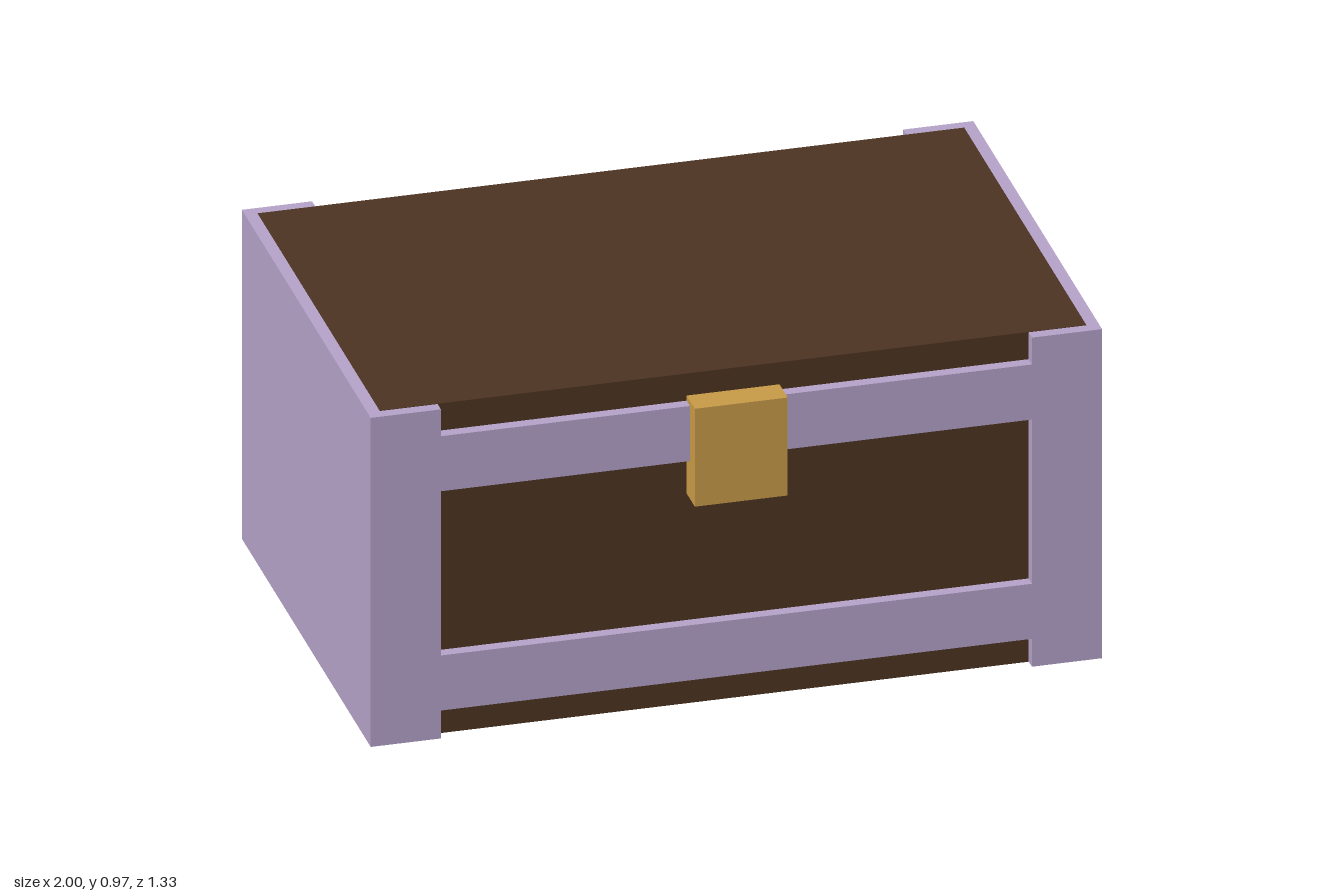
import * as THREE from 'three';

export function createModel() {
  const group = new THREE.Group();
  const wood = new THREE.MeshStandardMaterial({ name: 'dark wood', color: 0x4d3322 });
  const trim = new THREE.MeshStandardMaterial({ name: 'lilac trim', color: 0xb5a3ca });
  const brass = new THREE.MeshStandardMaterial({ name: 'brass', color: 0xc89b48 });

  // Box given by its lower and upper limits on each axis
  function box(name, material, [x0, x1], [y0, y1], [z0, z1]) {
    const mesh = new THREE.Mesh(new THREE.BoxGeometry(x1 - x0, y1 - y0, z1 - z0), material);
    mesh.position.set((x0 + x1) / 2, (y0 + y1) / 2, (z0 + z1) / 2);
    mesh.name = name;
    group.add(mesh);
  }

  const height = 0.97, back = -0.667, front = 0.618, inset = 0.033;
  const gap = 0.001; // keeps the body's top and bottom clear of the trim

  // Chest body
  box('body', wood, [-0.966, 0.966], [0, height], [back + inset, front - inset]);

  // End caps wrapping both sides
  box('leftEndCap', trim, [0.808, 1], [gap, height - gap], [back, front]);
  box('rightEndCap', trim, [-1, -0.808], [gap, height - gap], [back, front]);

  // Horizontal bands on the front and back
  for (const [level, y0, y1] of [['lower', 0.083, 0.245], ['upper', 0.728, 0.89]]) {
    box(level + 'FrontBand', trim, [-0.808, 0.808], [y0, y1], [front - inset, front]);
    box(level + 'BackBand', trim, [-0.808, 0.808], [y0, y1], [back, back + inset]);
  }

  // Latch
  box('latch', brass, [-0.127, 0.127], [0.617, 0.905], [front - inset, 0.667]);

  return group;
}
